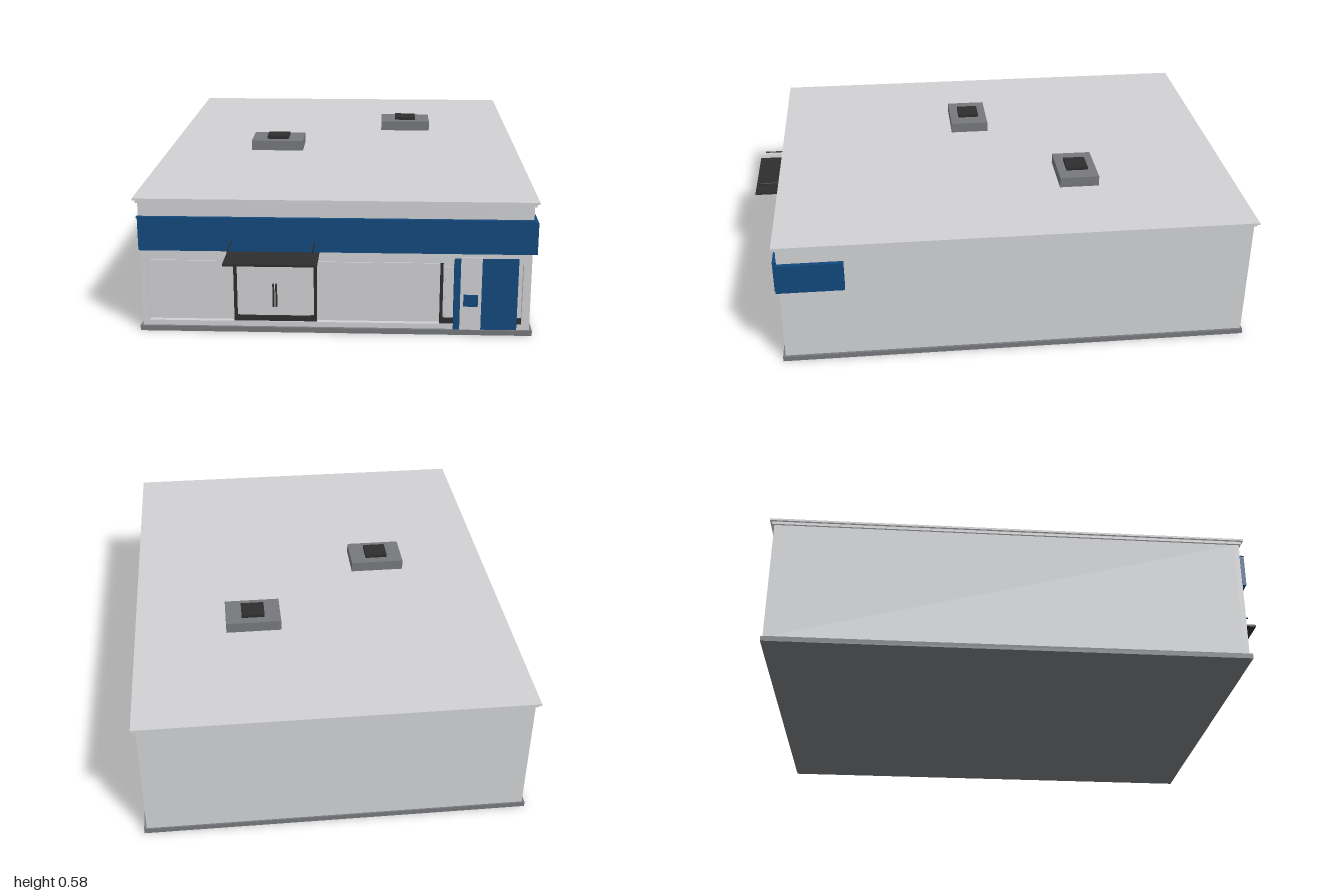
import * as THREE from 'three';

const mat = (name, color) => {
  const m = new THREE.MeshStandardMaterial({ color });
  m.name = name;
  return m;
};

export function createModel() {
  const wall = mat('pale grey wall', 0xd0d1d3);
  const blue = mat('blue panel', 0x11487c);
  const grey = mat('mid grey', 0x76787b);
  const dark = mat('charcoal', 0x2d2d2d);

  const model = new THREE.Group();
  model.name = 'shopBuilding';

  // Box given by its limits on each axis
  const box = (name, material, [x0, x1], [y0, y1], [z0, z1], parent = model) => {
    const mesh = new THREE.Mesh(new THREE.BoxGeometry(x1 - x0, y1 - y0, z1 - z0), material);
    mesh.position.set((x0 + x1) / 2, (y0 + y1) / 2, (z0 + z1) / 2);
    mesh.name = name;
    parent.add(mesh);
    return mesh;
  };
  const part = (name) => {
    const g = new THREE.Group();
    g.name = name;
    model.add(g);
    return g;
  };

  // Plinth, main body and stepped cornice
  box('plinth', grey, [-0.74, 0.74], [0, 0.02], [-0.99, 0.861]);
  box('body', wall, [-0.73, 0.73], [0.02, 0.505], [-0.984, 0.832]);
  box('corniceLower', wall, [-0.738, 0.738], [0.505, 0.516], [-0.992, 0.858]);
  box('corniceUpper', wall, [-0.747, 0.747], [0.516, 0.524], [-1, 0.865]);

  // Front wall with one long glazed opening
  const face = new THREE.Shape();
  face.moveTo(-0.73, 0.02).lineTo(0.73, 0.02).lineTo(0.73, 0.505).lineTo(-0.73, 0.505).closePath();
  const hole = new THREE.Path();
  hole.moveTo(-0.705, 0.04).lineTo(-0.705, 0.284).lineTo(0.7, 0.284).lineTo(0.7, 0.04).closePath();
  face.holes.push(hole);
  const front = new THREE.Mesh(
    new THREE.ExtrudeGeometry(face, { depth: 0.02, bevelEnabled: false }), wall);
  front.position.z = 0.831;
  front.name = 'frontWall';
  model.add(front);

  // Shop windows
  const windows = part('windows');
  for (const [a, b] of [[-0.705, -0.382], [-0.07, 0.393]]) {
    box('windowPane', wall, [a + 0.008, b - 0.004], [0.048, 0.276], [0.831, 0.836], windows);
  }

  // Doors in charcoal frames
  const doors = part('doors');
  for (const x of [-0.382, -0.08, 0.393]) {
    box('doorPost', dark, [x, x + 0.011], [0.04, 0.284], [0.831, 0.848], doors);
  }
  for (const [a, b] of [[-0.371, -0.08], [0.404, 0.7]]) {
    box('doorSill', dark, [a, b], [0.04, 0.06], [0.831, 0.846], doors);
    box('doorPane', wall, [a + 0.008, b - 0.015], [0.06, 0.264], [0.831, 0.837], doors);
  }
  for (const x of [-0.236, -0.225]) {
    box('doorHandle', dark, [x, x + 0.006], [0.098, 0.188], [0.836, 0.85], doors);
  }

  // Blue fascia across the front and round one corner
  box('frontFascia', blue, [-0.731, 0.731], [0.324, 0.45], [0.85, 0.866]);
  box('fasciaCap', blue, [-0.735, 0.731], [0.45, 0.454], [0.85, 0.866]);
  box('sideFascia', blue, [0.729, 0.747], [0.324, 0.445], [0.6, 0.862]);

  // Entrance canopy with two horizontal rods
  const canopy = part('canopy');
  box('canopySlab', dark, [-0.4, -0.058], [0.314, 0.322], [0.85, 1], canopy);
  for (const x of [-0.383, -0.075]) {
    const rod = new THREE.Mesh(new THREE.CylinderGeometry(0.003, 0.003, 0.115, 8), dark);
    rod.rotation.x = Math.PI / 2;
    rod.position.set(x, 0.36, 0.915);
    rod.name = 'canopyRod';
    canopy.add(rod);
  }

  // Service kiosk
  const kiosk = part('kiosk');
  box('kioskEdge', blue, [0.444, 0.47], [0.02, 0.302], [0.831, 0.855], kiosk);
  box('kioskWing', blue, [0.545, 0.682], [0.02, 0.302], [0.831, 0.855], kiosk);
  box('kioskPanel', wall, [0.468, 0.547], [0.02, 0.306], [0.831, 0.857], kiosk);
  box('kioskScreen', blue, [0.48, 0.534], [0.115, 0.161], [0.857, 0.862], kiosk);

  // Roof units
  for (const [x, z] of [[-0.28, 0.04], [0.275, -0.36]]) {
    const unit = part('roofUnit');
    box('unitCase', grey, [x - 0.11, x + 0.11], [0.524, 0.566], [z - 0.08, z + 0.08], unit);
    box('unitVent', dark, [x - 0.046, x + 0.046], [0.566, 0.578], [z - 0.044, z + 0.044], unit);
  }
  return model;
}
